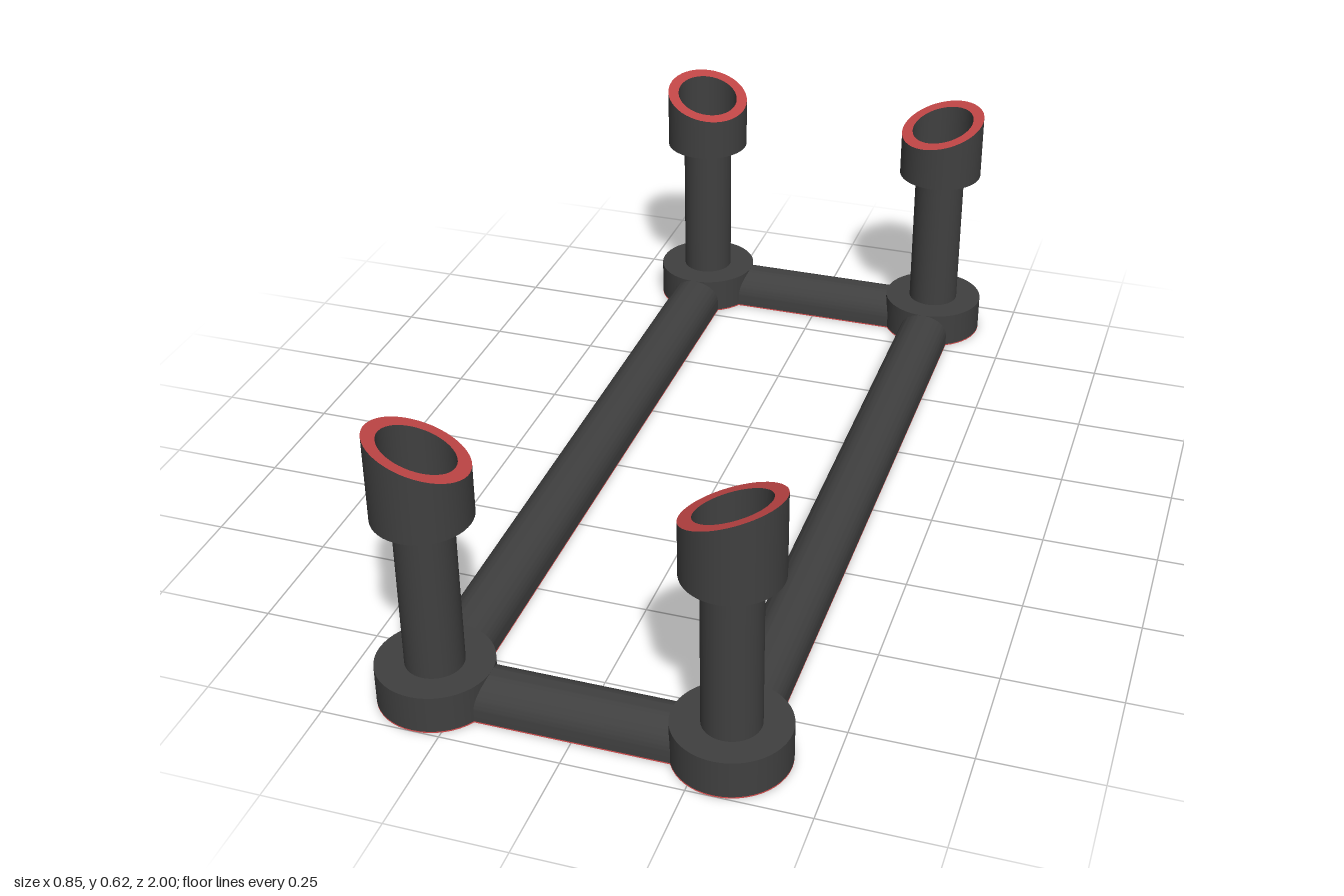
import * as THREE from 'three';
import { toCreasedNormals } from 'three/addons/utils/BufferGeometryUtils.js';

const X = 0.305, Z = 0.88;           // corner post positions
const FOOT_R = 0.12, BAR_R = 0.06, BASE_H = 0.085, SKIN = 0.003;
const CUP_R = 0.1, HOLE_R = 0.074, CUP_Y = 0.43, FLOOR_Y = 0.47;

export function createModel() {
  const dark = new THREE.MeshStandardMaterial({ color: 0x404040 });
  dark.name = 'charcoal';
  dark.side = THREE.DoubleSide;
  const red = new THREE.MeshStandardMaterial({ color: 0xbf4545 });
  red.name = 'red';
  red.side = THREE.DoubleSide;

  const add = (parent, name, geometry, material, x = 0, y = 0, z = 0) => {
    const mesh = new THREE.Mesh(geometry, material);
    mesh.name = name;
    mesh.position.set(x, y, z);
    parent.add(mesh);
    return mesh;
  };

  // Bar with flat underside and rounded top, running along z
  const barGeometry = (length) => {
    const s = new THREE.Shape();
    s.moveTo(-BAR_R, SKIN);
    s.lineTo(BAR_R, SKIN);
    s.lineTo(BAR_R, BASE_H - BAR_R);
    s.absarc(0, BASE_H - BAR_R, BAR_R, 0, Math.PI, false);
    s.closePath();
    const g = new THREE.ExtrudeGeometry(s, { depth: length, bevelEnabled: false, curveSegments: 20 });
    return toCreasedNormals(g.translate(0, 0, -length / 2), 0.6);
  };
  const underside = (g) => g.rotateX(Math.PI / 2);

  // Raise the vertices above a level onto a tilted plane
  const cutTop = (g, level, planeY) => {
    const p = g.attributes.position;
    for (let i = 0; i < p.count; i++) {
      if (p.getY(i) > level) p.setY(i, planeY(p.getX(i), p.getZ(i)));
    }
    return g;
  };
  const tube = (radius, y0, planeY) => {
    const g = new THREE.CylinderGeometry(radius, radius, 1, 48, 1, true).translate(0, 0.5 + y0, 0);
    return cutTop(g, y0 + 0.5, planeY);
  };

  const model = new THREE.Group();
  model.name = 'cornerPostFrame';

  // Base frame
  const frame = new THREE.Group();
  frame.name = 'baseFrame';
  model.add(frame);
  for (const s of [-1, 1]) {
    add(frame, 'longBar', barGeometry(2 * Z), dark, s * X);
    add(frame, 'longBarUnderside', underside(new THREE.PlaneGeometry(2 * BAR_R, 2 * Z)), red, s * X);
    add(frame, 'crossBar', barGeometry(2 * X), dark, 0, 0, s * Z).rotation.y = Math.PI / 2;
    add(frame, 'crossBarUnderside', underside(new THREE.PlaneGeometry(2 * X, 2 * BAR_R)), red, 0, 0, s * Z);
  }

  // Corner posts: the cup rims slope down towards the middle
  for (const sx of [-1, 1]) {
    for (const sz of [-1, 1]) {
      const post = new THREE.Group();
      post.name = (sz > 0 ? 'front' : 'back') + (sx > 0 ? 'Left' : 'Right') + 'Post';
      post.position.set(sx * X, 0, sz * Z);
      model.add(post);

      const [mid, a, b] = sz > 0 ? [0.575, 0.38, 0.15] : [0.56, 0.2, 0.24];
      const planeY = (x, z) => mid + a * sx * x + b * sz * z;

      const footH = BASE_H - SKIN;
      add(post, 'foot', new THREE.CylinderGeometry(FOOT_R, FOOT_R, footH, 48), dark, 0, SKIN + footH / 2);
      add(post, 'footUnderside', underside(new THREE.CircleGeometry(FOOT_R, 48)), red);
      const h = CUP_Y - BASE_H + 0.01;
      add(post, 'column', new THREE.CylinderGeometry(BAR_R, BAR_R, h, 40), dark, 0, BASE_H + h / 2);

      add(post, 'cupWall', tube(CUP_R, CUP_Y, planeY), dark);
      const inner = tube(HOLE_R, FLOOR_Y, planeY);
      inner.scale(-1, 1, 1).scale(-1, 1, 1);
      add(post, 'cupInnerWall', inner, dark);
      add(post, 'cupBottom', underside(new THREE.CircleGeometry(CUP_R, 48)), dark, 0, CUP_Y);
      add(post, 'cupFloor', new THREE.CircleGeometry(HOLE_R, 48).rotateX(-Math.PI / 2), red, 0, FLOOR_Y);
      const rim = new THREE.RingGeometry(HOLE_R, CUP_R, 48).rotateX(-Math.PI / 2);
      cutTop(rim, -1, planeY).computeVertexNormals();
      add(post, 'cupRim', rim, red);
    }
  }
  return model;
}
